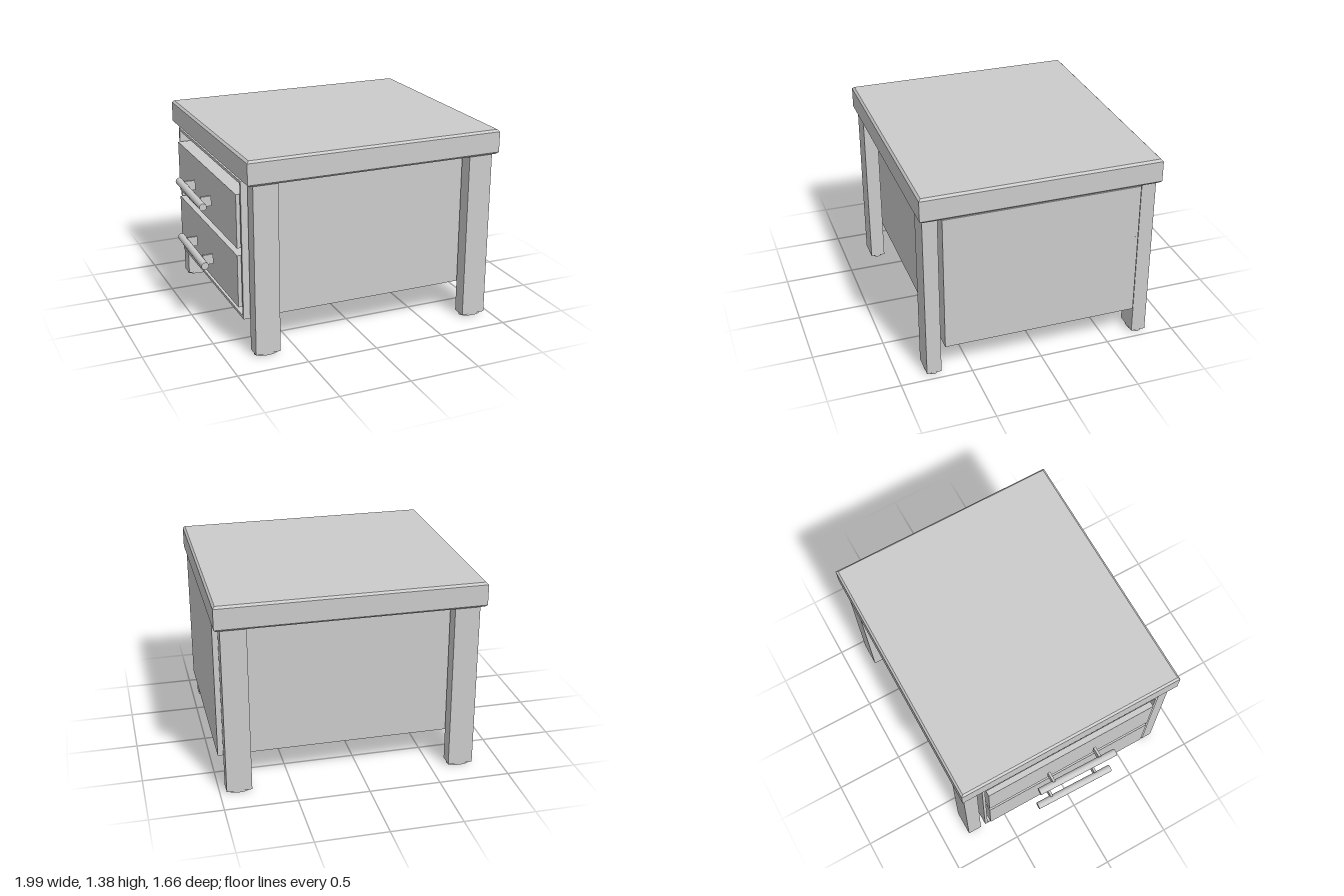
import * as THREE from 'three';

const material = new THREE.MeshStandardMaterial({ color: 0xcccccc, flatShading: true });
const smooth = new THREE.MeshStandardMaterial({ color: 0xcccccc });

function add(parent, name, geometry, mat = material) {
  const mesh = new THREE.Mesh(geometry, mat);
  mesh.name = name;
  parent.add(mesh);
  return mesh;
}

// Box given by its limits on each axis
function box(parent, name, [x0, x1], [y0, y1], [z0, z1]) {
  const mesh = add(parent, name, new THREE.BoxGeometry(x1 - x0, y1 - y0, z1 - z0));
  mesh.position.set((x0 + x1) / 2, (y0 + y1) / 2, (z0 + z1) / 2);
  return mesh;
}

// Slab with chamfered edges
function tabletop(x0, x1, y0, y1, z, bevel) {
  const a = x0 + bevel, b = x1 - bevel, c = z - bevel;
  const shape = new THREE.Shape([[a, -c], [b, -c], [b, c], [a, c]].map(p => new THREE.Vector2(...p)));
  const geometry = new THREE.ExtrudeGeometry(shape, {
    depth: y1 - y0 - 2 * bevel, bevelEnabled: true,
    bevelThickness: bevel, bevelSize: bevel, bevelSegments: 1,
  });
  return geometry.rotateX(-Math.PI / 2).translate(0, y0 + bevel, 0);
}

export function createModel() {
  const model = new THREE.Group();
  model.name = 'drawerTable';

  add(model, 'tabletop', tabletop(-0.843, 0.995, 1.21, 1.385, 0.832, 0.015));

  // Legs with oval foot pads
  for (const x of [-0.7125, 0.8675]) {
    for (const side of [-1, 1]) {
      const leg = new THREE.Group();
      leg.name = 'leg';
      leg.position.set(x, 0, side * 0.757);
      box(leg, 'legPost', [-0.0875, 0.0875], [0.015, 1.21], [-0.051, 0.051]);
      const foot = add(leg, 'footPad', new THREE.CylinderGeometry(1, 1, 0.02, 24), smooth);
      foot.scale.set(0.084, 1, 0.048);
      foot.position.y = 0.01;
      model.add(leg);
    }
  }

  // Cabinet shell, open towards -x
  const cabinet = new THREE.Group();
  cabinet.name = 'cabinet';
  model.add(cabinet);
  const x = [-0.84, 0.99], y = [0.235, 1.21], t = 0.02, w = 0.685;
  box(cabinet, 'sidePanel', x, y, [w - t, w]);
  box(cabinet, 'sidePanel', x, y, [-w, t - w]);
  box(cabinet, 'endPanel', [x[1] - t, x[1]], y, [t - w, w - t]);
  box(cabinet, 'bottomPanel', [x[0], x[1] - t], [y[0], y[0] + t], [t - w, w - t]);
  box(cabinet, 'topPanel', [x[0], x[1] - t], [y[1] - t, y[1]], [t - w, w - t]);

  // Drawers with bar handles
  for (const [bottom, top, handleY] of [[0.31, 0.683, 0.49], [0.735, 1.11, 0.92]]) {
    const drawer = new THREE.Group();
    drawer.name = 'drawer';
    model.add(drawer);
    box(drawer, 'drawerBox', [-0.86, 0.9], [bottom, top], [-0.648, 0.645]);
    for (const z of [-0.19, 0.175]) {
      box(drawer, 'handlePost', [-0.955, -0.88], [handleY - 0.037, handleY + 0.035], [z - 0.009, z + 0.009]);
    }
    const bar = add(drawer, 'handleBar', new THREE.CylinderGeometry(0.026, 0.026, 0.6, 20).rotateX(Math.PI / 2), smooth);
    bar.position.set(-0.967, handleY, -0.01);
    bar.rotation.y = -0.02;
  }
  return model;
}
